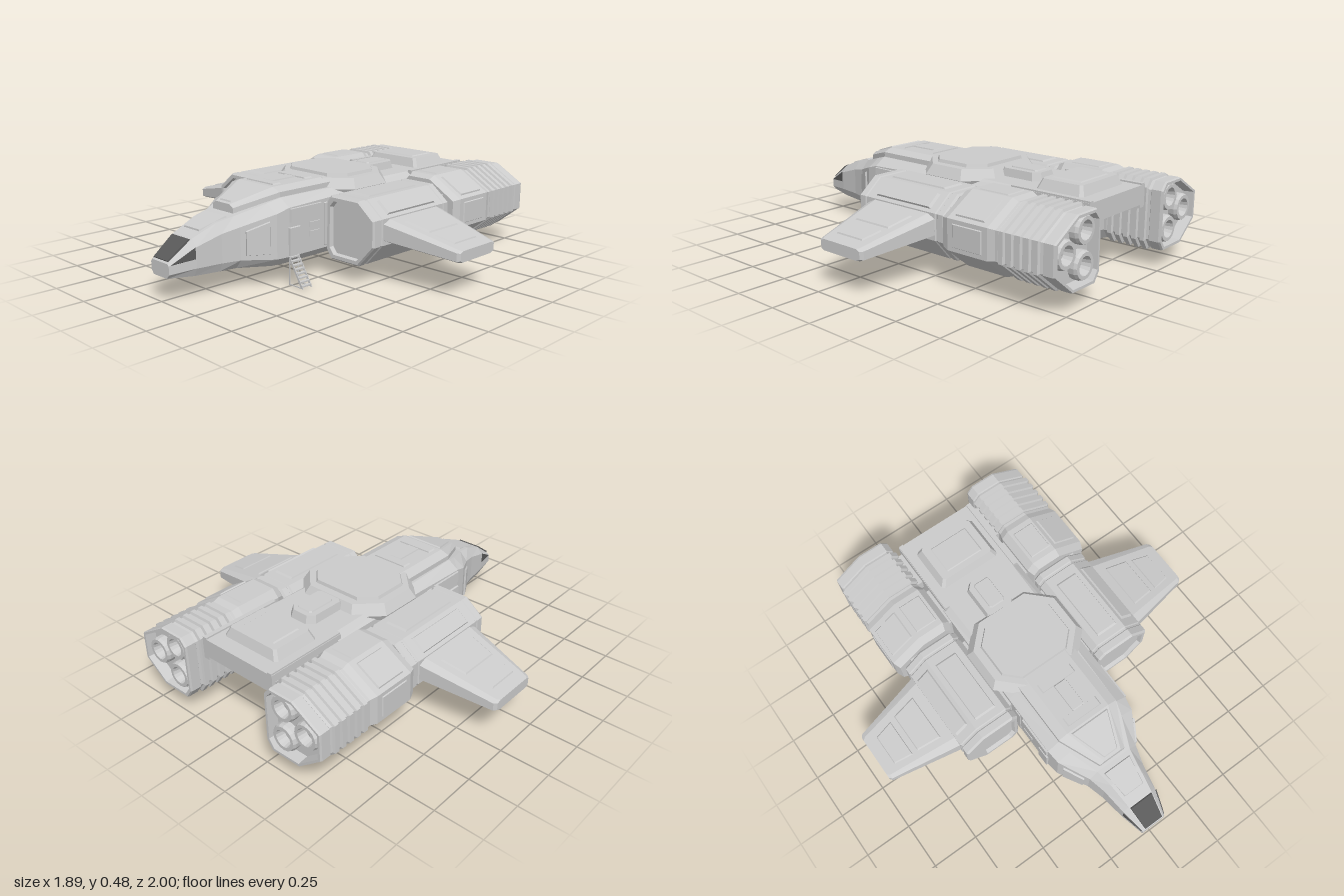
import * as THREE from 'three';

const grey = new THREE.MeshStandardMaterial({ color: 0xcccccc, flatShading: true, side: THREE.DoubleSide });
const glass = new THREE.MeshStandardMaterial({ color: 0x5a5a5a, flatShading: true, side: THREE.DoubleSide });

// Skins a list of rings ([x, y, z] corners), caps both ends and faces it outwards.
function loft(name, rings, mat = grey) {
  const n = rings[0].length, tris = [];
  const mid = r => [0, 1, 2].map(k => r.reduce((s, p) => s + p[k], 0) / n);
  const first = rings[0], last = rings[rings.length - 1];
  for (let i = 0; i < n; i++) {
    const j = (i + 1) % n;
    for (let r = 0; r < rings.length - 1; r++) {
      const a = rings[r], b = rings[r + 1];
      tris.push([a[i], a[j], b[j]], [a[i], b[j], b[i]]);
    }
    tris.push([first[j], first[i], mid(first)], [last[i], last[j], mid(last)]);
  }
  const v = p => new THREE.Vector3(...p);
  const o = v(mid(first));
  const volume = tris.reduce((s, [a, b, c]) => s + v(a).sub(o).dot(v(b).sub(o).cross(v(c).sub(o))), 0);
  if (volume < 0) tris.forEach(t => t.reverse());
  const geo = new THREE.BufferGeometry();
  geo.setAttribute('position', new THREE.Float32BufferAttribute(tris.flat(2), 3));
  geo.computeVertexNormals();
  const mesh = new THREE.Mesh(geo, mat);
  mesh.name = name;
  return mesh;
}

// Raised plate: a corner ring pushed along an offset, with its top edge drawn in.
function panel(name, ring, off, shrink = 0.94, mat = grey) {
  const c = [0, 1, 2].map(k => ring.reduce((s, p) => s + p[k], 0) / ring.length);
  return loft(name, [ring, ring.map(p => p.map((q, k) => c[k] + (q - c[k]) * shrink + off[k]))], mat);
}

// Horizontal rectangle or chamfered octagon as a ring.
const rect = (x0, x1, z0, z1, y) => [[x0, y, z0], [x1, y, z0], [x1, y, z1], [x0, y, z1]];
const octagon = (w, z0, z1, c, y) => [
  [w, y, z0 + c], [w, y, z1 - c], [w - c, y, z1], [c - w, y, z1],
  [-w, y, z1 - c], [-w, y, z0 + c], [c - w, y, z0], [w - c, y, z0]];

function box(name, x0, x1, y0, y1, z0, z1) {
  const m = new THREE.Mesh(new THREE.BoxGeometry(x1 - x0, y1 - y0, z1 - z0), grey);
  m.position.set((x0 + x1) / 2, (y0 + y1) / 2, (z0 + z1) / 2);
  m.name = name;
  return m;
}

// Pod of constant outline, scaled about its centre at each [z, scale] station.
function pod(name, s, outline, cx, cy, stations) {
  return loft(name, stations.map(([z, k]) => outline.map(([x, y]) => [s * (cx + (x - cx) * k), cy + (y - cy) * k, z])));
}

function thruster(s, x, y) {
  const pts = [[0.001, -0.03], [0.032, -0.03], [0.045, 0.035], [0.062, 0.035], [0.068, 0.02], [0.068, -0.04]];
  const g = new THREE.Group();
  g.name = 'thruster';
  const bell = new THREE.Mesh(new THREE.LatheGeometry(pts.map(p => new THREE.Vector2(...p)), 16), grey);
  const core = new THREE.Mesh(new THREE.SphereGeometry(0.025, 10, 6), grey);
  core.position.y = -0.02;
  g.add(bell, core);
  g.rotation.x = -Math.PI / 2;
  g.position.set(s * x, y, -0.955);
  return g;
}

function hull() {
  const g = new THREE.Group();
  g.name = 'fuselage';
  // [z, bottom half-width, half-width, bottom, lower edge, shoulder, top, top half-width]
  const ring = ([z, wb, w, yb, yl, ys, yt, wt]) => {
    const half = [[wb, yb], [w, yl], [w, ys], [wt, yt]];
    return [...half.map(([x, y]) => [x, y, z]), ...half.reverse().map(([x, y]) => [-x, y, z])];
  };
  g.add(loft('mainHull', [
    [1.0, 0.05, 0.068, 0.12, 0.14, 0.18, 0.19, 0.058],
    [0.87, 0.08, 0.1, 0.11, 0.15, 0.25, 0.285, 0.07],
    [0.74, 0.1, 0.12, 0.107, 0.15, 0.29, 0.338, 0.085],
    [0.65, 0.11, 0.145, 0.105, 0.15, 0.31, 0.355, 0.1],
    [0.5, 0.19, 0.23, 0.1, 0.14, 0.36, 0.4, 0.16],
    [0.43, 0.2, 0.24, 0.1, 0.14, 0.38, 0.42, 0.18],
    [0.1, 0.2, 0.24, 0.1, 0.14, 0.39, 0.42, 0.19],
    [-0.5, 0.2, 0.235, 0.1, 0.14, 0.39, 0.42, 0.2]].map(ring)));
  g.add(loft('dorsalRidge', [
    [0.635, 0.07, 0.075, 0.33, 0.35, 0.385, 0.4, 0.05],
    [0.43, 0.17, 0.175, 0.38, 0.41, 0.445, 0.463, 0.125],
    [0.05, 0.17, 0.175, 0.38, 0.41, 0.445, 0.463, 0.125]].map(ring)));
  g.add(panel('ridgeFacet', [[-0.04, 0.404, 0.62], [0.04, 0.404, 0.62], [0.11, 0.46, 0.44], [-0.11, 0.46, 0.44]], [0, 0.006, 0.002]));
  // Nose windows
  g.add(panel('windscreen', [[-0.053, 0.197, 0.992], [0.053, 0.197, 0.992], [0.066, 0.28, 0.876], [-0.066, 0.28, 0.876]], [0, 0.005, 0.006], 0.98, glass));
  g.add(panel('nosePanel', [[-0.06, 0.298, 0.82], [0.06, 0.298, 0.82], [0.082, 0.345, 0.67], [-0.082, 0.345, 0.67]], [0, 0.014, 0.004], 0.92));
  for (const s of [1, -1]) {
    g.add(panel('sideWindow', [[s * 0.07, 0.183, 0.992], [s * 0.1, 0.195, 0.875], [s * 0.1, 0.25, 0.875]], [s * 0.004, 0.002, 0], 0.97, glass));
    // Flank panels, door and vents
    const side = (name, z0, z1, y0, y1, h = 0.005) =>
      g.add(panel(name, [[s * 0.238, y0, z0], [s * 0.238, y0, z1], [s * 0.238, y1, z1], [s * 0.238, y1, z0]], [s * (h + 0.002), 0, 0], 0.96));
    side('flankWindow', 0.22, 0.43, 0.31, 0.375, 0.01);
    side('door', 0.365, 0.435, 0.145, 0.285, 0.01);
    side('upperVent', 0.23, 0.3, 0.262, 0.288);
    side('lowerVent', 0.23, 0.3, 0.215, 0.243);
    side('rearFlankPanel', 0.16, 0.2, 0.15, 0.37);
    g.add(panel('cheekPanel', [[s * 0.159, 0.17, 0.63], [s * 0.159, 0.29, 0.63], [s * 0.217, 0.33, 0.53], [s * 0.217, 0.17, 0.53]], [s * 0.008, 0, 0.005], 0.95));
  }
  // Raised H plates above and below
  for (const [y, h] of [[0.463, 0.006], [0.1, -0.006]]) {
    for (const z of [0.17, 0.38]) g.add(panel('crossPlate', rect(-0.1, 0.1, z - 0.025, z + 0.025, y), [0, h, 0]));
    g.add(panel('spinePlate', rect(-0.035, 0.035, 0.195, 0.355, y), [0, h, 0]));
  }
  // Octagonal centre, top and belly
  g.add(loft('centreCollar', [octagon(0.27, -0.32, 0.13, 0.12, 0.38), octagon(0.28, -0.33, 0.14, 0.12, 0.41), octagon(0.25, -0.3, 0.11, 0.11, 0.462)]));
  g.add(panel('topDisc', octagon(0.21, -0.26, 0.075, 0.075, 0.46), [0, 0.018, 0], 0.97));
  g.add(panel('bellyDisc', octagon(0.19, -0.26, 0.075, 0.075, 0.102), [0, -0.02, 0], 0.95));
  g.add(panel('bellyHatch', rect(-0.13, 0.13, -0.46, -0.31, 0.102), [0, -0.015, 0], 0.88));
  g.add(panel('rearFin', octagon(0.085, -0.53, -0.27, 0.035, 0.41), [0, 0.05, 0], 0.88));
  g.add(panel('rearFinCap', octagon(0.045, -0.49, -0.33, 0.01, 0.46), [0, 0.006, 0]));
  // Rear deck over an open bay
  g.add(box('rearDeck', -0.23, 0.23, 0.365, 0.42, -0.92, -0.48));
  g.add(panel('deckHatch', octagon(0.175, -0.84, -0.58, 0.015, 0.42), [0, 0.048, 0], 0.86));
  g.add(panel('deckHatchCap', rect(-0.11, 0.11, -0.79, -0.63, 0.468), [0, 0.005, 0]));
  g.add(box('deckBeam', -0.21, 0.21, 0.325, 0.37, -0.92, -0.87));
  g.add(loft('bayRamp', [-0.2, 0.2].map(x => [[x, 0.1, -0.48], [x, 0.12, -0.53], [x, 0.37, -0.64], [x, 0.37, -0.48]])));
  for (const s of [1, -1]) {
    g.add(loft('bayWall', [0.195, 0.23].map(x => [[s * x, 0.11, -0.48], [s * x, 0.2, -0.6], [s * x, 0.31, -0.92], [s * x, 0.38, -0.92], [s * x, 0.38, -0.48]])));
    g.add(box('deckRail', s * 0.215 - 0.012, s * 0.215 + 0.012, 0.415, 0.428, -0.92, -0.48));
  }
  return g;
}

function sidePods(s) {
  const g = new THREE.Group();
  g.name = s > 0 ? 'leftSide' : 'rightSide';
  const P = ring => ring.map(([x, y, z]) => [s * x, y, z]);
  // Forward pod with sunken front face
  const front = [[0.255, 0.13], [0.255, 0.375], [0.285, 0.41], [0.465, 0.41], [0.565, 0.33], [0.565, 0.2], [0.465, 0.09], [0.285, 0.09]];
  g.add(pod('wingPod', s, front, 0.41, 0.25, [
    [0.18, 0.8], [0.2, 0.84], [0.2, 0.95], [0.19, 1], [0.155, 1], [0.15, 0.97], [0.14, 0.97], [0.135, 1],
    [-0.31, 1], [-0.315, 0.97], [-0.325, 0.97], [-0.33, 1], [-0.36, 1], [-0.37, 0.94]]));
  for (const [y, h] of [[0.409, 0.008], [0.091, -0.008]])
    g.add(panel('podPlate', P(rect(0.32, 0.44, -0.26, 0.1, y)), [0, h, 0]));
  g.add(panel('podSlopePlate', P([[0.482, 0.396, 0.09], [0.55, 0.342, 0.09], [0.55, 0.342, -0.27], [0.482, 0.396, -0.27]]), [s * 0.006, 0.008, 0]));
  // Wing: sections are [y, z], root to tip
  const root = [[0.23, 0.135], [0.31, 0.135], [0.33, 0.09], [0.33, -0.27], [0.31, -0.315], [0.23, -0.315], [0.21, -0.27], [0.21, 0.09]];
  const tip = [[0.185, 0.05], [0.225, 0.05], [0.235, 0.03], [0.235, -0.21], [0.225, -0.235], [0.185, -0.235], [0.175, -0.21], [0.175, 0.03]];
  const at = (sec, x, k = 1) => sec.map(([y, z]) => [s * x, 0.205 + (y - 0.205) * k, -0.09 + (z + 0.09) * k]);
  g.add(loft('wing', [at(root, 0.54), at(tip, 0.93), at(tip, 0.943, 0.9)]));
  const lerp = THREE.MathUtils.lerp;
  for (const [r, t, h] of [[0.33, 0.235, 0.006], [0.21, 0.175, -0.006]]) {
    const wy = x => lerp(r, t, (x - 0.54) / 0.39);
    for (const [x0, x1, z0, z1] of [[0.62, 0.75, -0.22, 0.04], [0.78, 0.88, -0.19, 0.02]])
      g.add(panel('wingPlate', P([[x0, wy(x0), z0], [x1, wy(x1), z0 + 0.02], [x1, wy(x1), z1 - 0.02], [x0, wy(x0), z1]]), [0, h, 0]));
  }
  // Engine: smooth body, ribbed tail, sunken nozzle plate
  const rear = [[0.25, 0.13], [0.25, 0.4], [0.285, 0.44], [0.43, 0.44], [0.6, 0.34], [0.6, 0.19], [0.46, 0.08], [0.285, 0.08]];
  const stations = [[-0.38, 0.91], [-0.42, 1], [-0.65, 1], [-0.685, 0.93], [-0.7, 0.93]];
  for (let i = 0; i < 5; i++) {
    const z = -0.705 - i * 0.046;
    stations.push([z, 0.92], [z - 0.005, 0.985], [z - 0.028, 0.985], [z - 0.033, 0.92]);
  }
  stations.push([-0.935, 0.9], [-0.94, 0.94], [-0.99, 0.94], [-1, 0.92], [-1, 0.85], [-0.945, 0.82]);
  g.add(pod('engine', s, rear, 0.42, 0.26, stations));
  g.add(panel('enginePlate', P(rect(0.3, 0.42, -0.62, -0.45, 0.439)), [0, 0.006, 0]));
  g.add(panel('engineSlopePlate', P([[0.45, 0.428, -0.45], [0.58, 0.352, -0.45], [0.58, 0.352, -0.62], [0.45, 0.428, -0.62]]), [s * 0.004, 0.006, 0]));
  g.add(panel('engineFlankPlate', P([[0.6, 0.21, -0.45], [0.6, 0.32, -0.45], [0.6, 0.32, -0.62], [0.6, 0.21, -0.62]]), [s * 0.005, 0, 0]));
  for (const [x, y] of [[0.355, 0.345], [0.355, 0.185], [0.49, 0.265]]) g.add(thruster(s, x, y));
  // Links to the fuselage and between the pods
  const link = (x0, x1, y0, y1, z0, z1) => g.add(box('strut', Math.min(s * x0, s * x1), Math.max(s * x0, s * x1), y0, y1, z0, z1));
  link(0.2, 0.3, 0.17, 0.36, -0.3, 0.12);
  link(0.2, 0.3, 0.2, 0.38, -0.64, -0.42);
  link(0.2, 0.29, 0.32, 0.38, -0.9, -0.7);
  link(0.29, 0.52, 0.16, 0.36, -0.41, -0.35);
  return g;
}

// Boarding steps by the left door
function steps() {
  const g = new THREE.Group();
  g.name = 'boardingSteps';
  const n = 8;
  for (let i = 0; i < n; i++) {
    const x = 0.325 - i * 0.0115, y = 0.008 + i * 0.018;
    g.add(box('tread', x - 0.013, x + 0.005, y, y + 0.007, 0.372, 0.428));
  }
  for (const z of [0.37, 0.427])
    g.add(loft('stringer', [z, z + 0.004].map(q => [[0.333, 0, q], [0.318, 0, q], [0.236, 0.13, q], [0.236, 0.15, q]])),
      box('stepPost', 0.236, 0.241, 0, 0.14, z, z + 0.004),
      box('stepFoot', 0.236, 0.33, 0, 0.005, z, z + 0.004));
  return g;
}

export function createModel() {
  const model = new THREE.Group();
  model.name = 'spaceship';
  model.add(hull(), sidePods(1), sidePods(-1), steps());
  return model;
}
